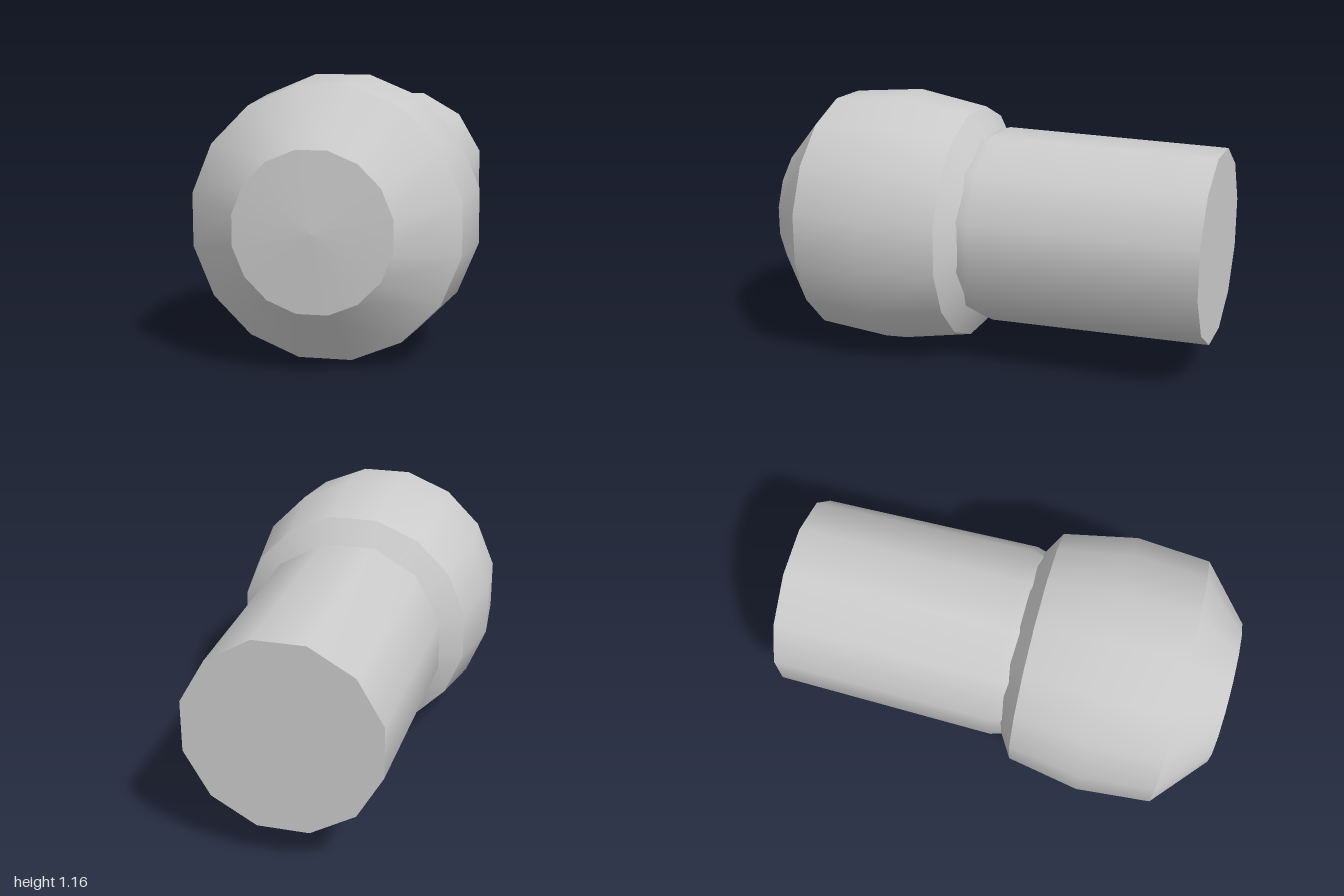
import * as THREE from 'three';

const CENTRE_Y = 0.58;

// Faceted ring band along z; profile entries are [radius, z] with z rising.
function band(name, sides, profile, material) {
  const points = profile.map(([r, z]) => new THREE.Vector2(r, z));
  const geometry = new THREE.LatheGeometry(points, sides, Math.PI / sides);
  geometry.rotateX(Math.PI / 2);
  const mesh = new THREE.Mesh(geometry, material);
  mesh.name = name;
  mesh.position.y = CENTRE_Y;
  return mesh;
}

export function createModel() {
  const grey = new THREE.MeshStandardMaterial({ color: 0xcccccc });
  grey.name = 'light grey';

  // Head: bands are separate so the edges between them stay sharp
  const head = new THREE.Group();
  head.name = 'head';
  head.add(
    band('headCollar', 16, [[0.37, 0.015], [0.53, 0.115]], grey),
    band('headBody', 16, [[0.53, 0.115], [0.589, 0.44], [0.561, 0.77]], grey),
    band('headBevel', 16, [[0.561, 0.77], [0.324, 0.98]], grey),
    band('headFace', 16, [[0.324, 0.98], [0, 1]], grey),
  );

  // Shaft: slightly tapered, running into the collar
  const shaft = new THREE.Group();
  shaft.name = 'shaft';
  shaft.add(
    band('shaftEnd', 12, [[0, -1], [0.427, -1]], grey),
    band('shaftBody', 12, [[0.427, -1], [0.444, 0], [0.415, 0.1]], grey),
  );

  const model = new THREE.Group();
  model.name = 'model';
  model.add(head, shaft);
  return model;
}
